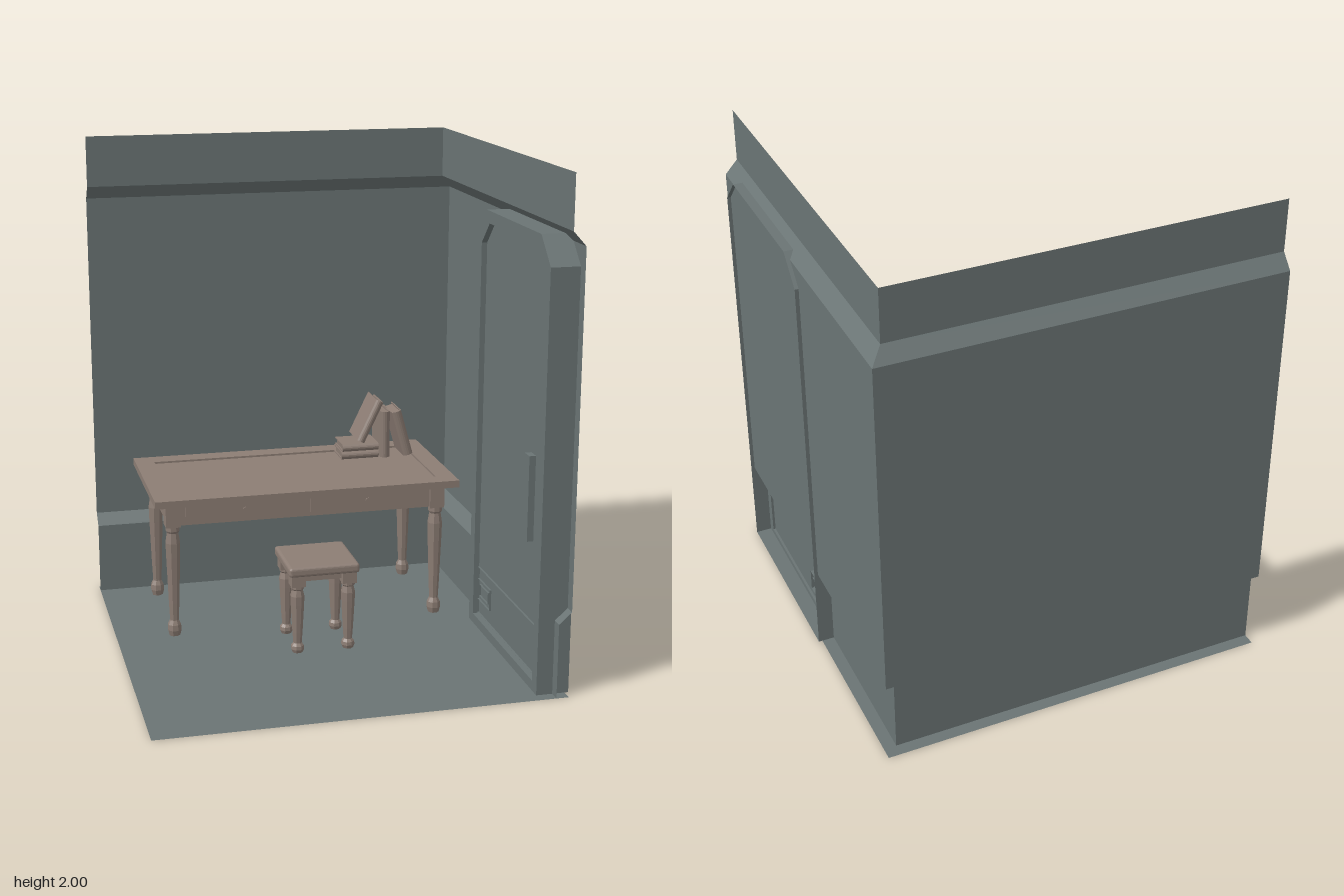
import * as THREE from 'three';
import { RoundedBoxGeometry } from 'three/addons/geometries/RoundedBoxGeometry.js';

const material = (color) => new THREE.MeshStandardMaterial({ color, flatShading: true, side: THREE.DoubleSide });
const wallMat = material(0x6a7474);
const woodMat = material(0x8c7d74);

function add(parent, name, geometry, mat, x = 0, y = 0, z = 0) {
  const mesh = new THREE.Mesh(geometry, mat);
  mesh.name = name;
  mesh.position.set(x, y, z);
  parent.add(mesh);
  return mesh;
}

function group(parent, name, x = 0, y = 0, z = 0) {
  const g = new THREE.Group();
  g.name = name;
  g.position.set(x, y, z);
  parent.add(g);
  return g;
}

const box = (w, h, d) => new THREE.BoxGeometry(w, h, d);

// Surface through rows of points, each quad flat
function sheet(rows) {
  const pos = [];
  for (let i = 0; i < rows.length - 1; i++) {
    for (let j = 0; j < rows[i].length - 1; j++) {
      const a = rows[i][j], b = rows[i][j + 1], c = rows[i + 1][j + 1], d = rows[i + 1][j];
      pos.push(...a, ...c, ...b, ...a, ...d, ...c);
    }
  }
  const g = new THREE.BufferGeometry();
  g.setAttribute('position', new THREE.Float32BufferAttribute(pos, 3));
  g.computeVertexNormals();
  return g;
}

// Outline in (z, y) with two chamfered top corners
function archPoints(z0, z1, y0, y1, cut) {
  return [[z0, y0], [z1, y0], [z1, y1 - cut], [z1 - cut, y1], [z0 + cut, y1], [z0, y1 - cut]];
}
const rectPoints = (z0, z1, y0, y1) => [[z0, y0], [z1, y0], [z1, y1], [z0, y1]];
const toShape = (pts) => new THREE.Shape(pts.map((p) => new THREE.Vector2(...p)));

// Open band following a (z, y) outline between two x positions
function band(pts, x0, x1) {
  const loop = [...pts, pts[0]];
  return sheet([x0, x1].map((x) => loop.map(([z, y]) => [x, y, z])));
}

function buildDoor(root) {
  const door = group(root, 'door');
  const outer = archPoints(-0.06, 0.755, 0, 1.76, 0.105);
  const inner = archPoints(-0.01, 0.705, 0.04, 1.71, 0.09);
  add(door, 'doorCasing', band(outer, 0.675, 0.805), wallMat);

  const ring = toShape(outer);
  ring.holes.push(toShape(inner));
  const ringGeo = new THREE.ExtrudeGeometry(ring, { depth: 0.025, bevelEnabled: false });
  add(door, 'doorFrame', ringGeo.rotateY(-Math.PI / 2), wallMat, 0.7);
  add(door, 'doorPanel', new THREE.ShapeGeometry(toShape(inner)).rotateY(-Math.PI / 2), wallMat, 0.698);

  // Rims at the foot of the door reach through the plinth
  add(door, 'lowerPanelRim', band(rectPoints(0.0, 0.68, 0.05, 0.25), 0.69, 0.75), wallMat);
  add(door, 'latchRim', band(rectPoints(0.0, 0.15, 0.11, 0.2), 0.69, 0.755), wallMat);
  add(door, 'latchRimInner', band(rectPoints(0.02, 0.13, 0.13, 0.18), 0.69, 0.755), wallMat);
  add(door, 'doorHandle', box(0.03, 0.34, 0.05), wallMat, 0.687, 0.74, 0.585);
}

// Turned leg profile scaled to its height
function turnedLeg(height, radius) {
  const profile = [[0, 0], [0.75, 0], [0.95, 0.05], [0.9, 0.1], [0.6, 0.14], [0.72, 0.3],
    [0.95, 0.72], [1, 0.85], [0.78, 0.94], [0.95, 0.96], [0.95, 1]];
  return new THREE.LatheGeometry(profile.map(([r, y]) => new THREE.Vector2(r * radius, y * height)), 8, Math.PI / 8);
}

function addLegs(parent, dx, dz, height, radius, blockHeight) {
  for (const sx of [-1, 1]) for (const sz of [-1, 1]) {
    const leg = group(parent, 'leg', sx * dx, 0, sz * dz);
    add(leg, 'turnedShaft', turnedLeg(height, radius), woodMat);
    add(leg, 'legBlock', box(radius * 2, blockHeight, radius * 2), woodMat, 0, height + blockHeight / 2, 0);
  }
}

function buildTable(root) {
  const table = group(root, 'table', -0.01, 0, -0.41);
  // Top with a shallow sunken field
  const rim = toShape(rectPoints(-0.64, 0.64, -0.32, 0.32));
  rim.holes.push(toShape(rectPoints(-0.56, 0.56, -0.24, 0.24)));
  const rimGeo = new THREE.ExtrudeGeometry(rim, { depth: 0.03, bevelEnabled: false });
  add(table, 'tableTopRim', rimGeo.rotateX(-Math.PI / 2), woodMat, 0, 0.575, 0);
  add(table, 'tableTopField', box(1.12, 0.022, 0.48), woodMat, 0, 0.586, 0);

  addLegs(table, 0.56, 0.24, 0.475, 0.031, 0.1);
  for (const s of [-1, 1]) {
    add(table, 'longApron', box(1.06, 0.095, 0.02), woodMat, 0, 0.527, s * 0.25);
    add(table, 'sideApron', box(0.02, 0.095, 0.42), woodMat, s * 0.57, 0.527, 0);
    // Drawer front and knob
    add(table, 'drawer', box(0.495, 0.068, 0.012), woodMat, s * 0.26, 0.532, 0.262);
    const knob = new THREE.CylinderGeometry(0.018, 0.012, 0.02, 12).rotateX(Math.PI / 2);
    add(table, 'drawerKnob', knob, woodMat, s * 0.26, 0.53, 0.277);
  }
}

function buildStool(root) {
  const stool = group(root, 'stool', -0.01, 0, 0.02);
  add(stool, 'stoolSeat', new RoundedBoxGeometry(0.29, 0.04, 0.29, 2, 0.012), woodMat, 0, 0.35, 0);
  addLegs(stool, 0.105, 0.105, 0.285, 0.029, 0.048);
  for (const s of [-1, 1]) {
    add(stool, 'stoolRail', box(0.16, 0.03, 0.02), woodMat, 0, 0.318, s * 0.105);
    add(stool, 'stoolRail', box(0.02, 0.03, 0.16), woodMat, s * 0.105, 0.318, 0);
  }
}

// Upright book, spine to the front: a U-shaped cover around a page block
function buildBook(parent, thickness, height, depth, x, y, tilt) {
  const book = group(parent, 'book', x, y, -0.56);
  book.rotation.z = tilt;
  const t = thickness / 2, c = 0.005, d = depth / 2, front = d - 0.012;
  const cover = new THREE.Shape();
  cover.moveTo(-t, d);
  cover.lineTo(-t, -front);
  cover.quadraticCurveTo(0, -d - 0.01, t, -front);
  cover.lineTo(t, d);
  cover.lineTo(t - c, d);
  cover.lineTo(t - c, -front + c);
  cover.lineTo(-t + c, -front + c);
  cover.lineTo(-t + c, d);
  cover.closePath();
  const geo = new THREE.ExtrudeGeometry(cover, { depth: height, bevelEnabled: false, curveSegments: 5 });
  geo.translate(0, 0, -height / 2).rotateX(-Math.PI / 2).rotateY(0);
  geo.scale(1, 1, 1);
  const shell = add(book, 'bookCover', geo, woodMat);
  // Shape y maps to -z, so the spine lies toward +z
  shell.position.z = 0;
  add(book, 'bookPages', box(thickness - 2 * c, height - 0.012, depth - 0.02), woodMat, 0, 0, 0.001);
}

export function createModel() {
  const root = new THREE.Group();
  root.name = 'studyCorner';

  // Floor
  add(root, 'floor', new THREE.PlaneGeometry(1.6, 1.6).rotateX(-Math.PI / 2), wallMat, -0.01, 0, 0);

  // Two thin walls meeting in a mitre, middle zone pushed outward
  const profile = [[0, 0], [0, 0.3], [0.05, 0.345], [0.05, 1.735], [0, 1.79], [0, 2]];
  const rows = profile.map(([d, y]) => [[-0.81, y, -0.75 - d], [0.74 + d, y, -0.75 - d], [0.74 + d, y, 0.8]]);
  add(root, 'walls', sheet(rows), wallMat);

  buildDoor(root);
  buildTable(root);
  buildStool(root);

  // Books: two lying flat, one leaning on them, two upright
  const books = group(root, 'books');
  buildBook(books, 0.033, 0.165, 0.145, 0.308, 0.622, Math.PI / 2);
  buildBook(books, 0.031, 0.16, 0.145, 0.31, 0.655, Math.PI / 2);
  buildBook(books, 0.034, 0.196, 0.155, 0.353, 0.77, -0.45);
  buildBook(books, 0.04, 0.205, 0.155, 0.42, 0.708, 0);
  buildBook(books, 0.042, 0.205, 0.155, 0.497, 0.709, 0.27);
  return root;
}
